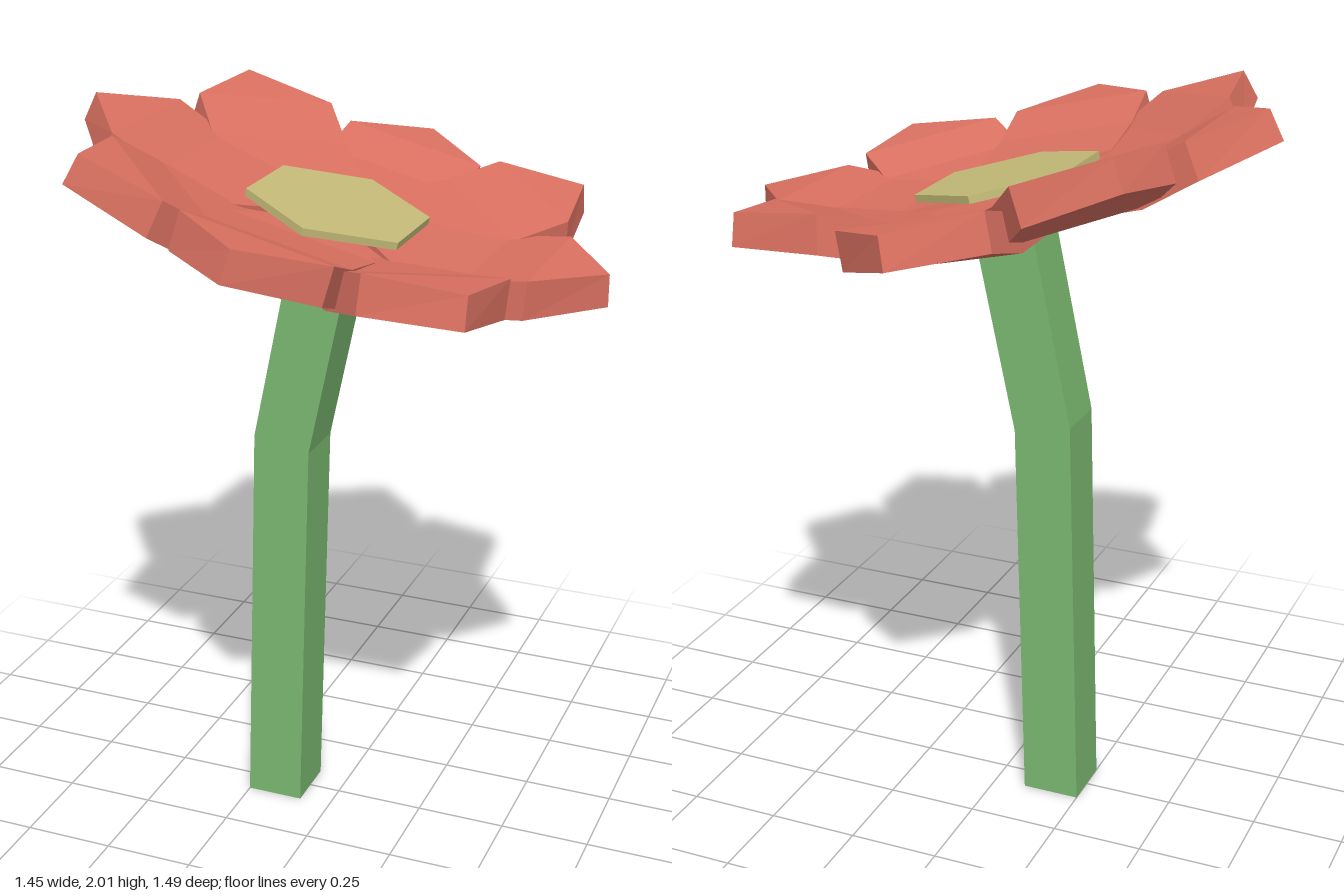
import * as THREE from 'three';

const mat = (color) => new THREE.MeshStandardMaterial({ color, flatShading: true });
const petalMat = mat(0xd97060);
const stemMat = mat(0x7ab870);
const centreMat = mat(0xc4ba78);

// Petal cross-sections from the centre outwards
const petalRows = [
  { r: 0.10, w: 0.06, top: -0.035, bottom: -0.10, flare: 0 },
  { r: 0.24, w: 0.20, top: -0.03, bottom: -0.105, flare: 0 },
  { r: 0.42, w: 0.20, top: 0.0, bottom: -0.10, flare: 0.01 },
  { r: 0.57, w: 0.20, top: 0.05, bottom: -0.05, flare: 0.015 },
  { r: 0.725, w: 0, top: 0.063, bottom: -0.02, flare: 0.02 },
];

function petalGeometry() {
  const n = petalRows.length - 1;
  const geo = new THREE.BoxGeometry(1, 1, 1, 1, 1, n);
  const p = geo.attributes.position;
  for (let i = 0; i < p.count; i++) {
    const row = petalRows[Math.round((p.getZ(i) + 0.5) * n)];
    const up = p.getY(i) > 0;
    p.setXYZ(i, Math.sign(p.getX(i)) * row.w, up ? row.top : row.bottom, row.r + (up ? 0 : row.flare));
  }
  geo.computeVertexNormals();
  return geo;
}

// Square stem with one bend
function stemGeometry() {
  const rows = [
    { left: [-0.25, 0], right: [-0.09, 0] },
    { left: [-0.215, 1.13], right: [-0.057, 1.1] },
    { left: [-0.1, 1.675], right: [0.06, 1.64] },
  ];
  const geo = new THREE.BoxGeometry(1, 1, 0.16, 1, 2, 1);
  const p = geo.attributes.position;
  for (let i = 0; i < p.count; i++) {
    const row = rows[Math.round((p.getY(i) + 0.5) * 2)];
    const [x, y] = p.getX(i) < 0 ? row.left : row.right;
    p.setXYZ(i, x, y, p.getZ(i));
  }
  geo.computeVertexNormals();
  return geo;
}

function addMesh(parent, name, geo, material) {
  const mesh = new THREE.Mesh(geo, material);
  mesh.name = name;
  parent.add(mesh);
  return mesh;
}

export function createModel() {
  const model = new THREE.Group();
  model.name = 'flower';
  addMesh(model, 'stem', stemGeometry(), stemMat);

  // Tilted flower head
  const head = new THREE.Group();
  head.name = 'flowerHead';
  head.position.y = 1.78;
  head.rotation.z = -0.235;
  model.add(head);

  // Hexagonal spool: a plate above and below the petals
  const spool = [[0, -0.13], [0.245, -0.125], [0.08, -0.11], [0.08, -0.02], [0.245, -0.02], [0.245, 0], [0, 0]]
    .map(([x, y]) => new THREE.Vector2(x, y));
  addMesh(head, 'centre', new THREE.LatheGeometry(spool, 6), centreMat);

  // Eight petals; the diagonal ones start lower and rise more
  const petal = petalGeometry();
  for (let i = 0; i < 8; i++) {
    const mesh = addMesh(head, 'petal' + (i + 1), petal, petalMat);
    const diagonal = i % 2 === 1;
    const lift = diagonal ? 0.08 : i === 0 ? 0.035 : i === 4 ? -0.045 : 0;
    mesh.rotation.set(-lift, i * Math.PI / 4, 0, 'YXZ');
    mesh.position.y = diagonal ? -0.03 : 0;
  }
  return model;
}
